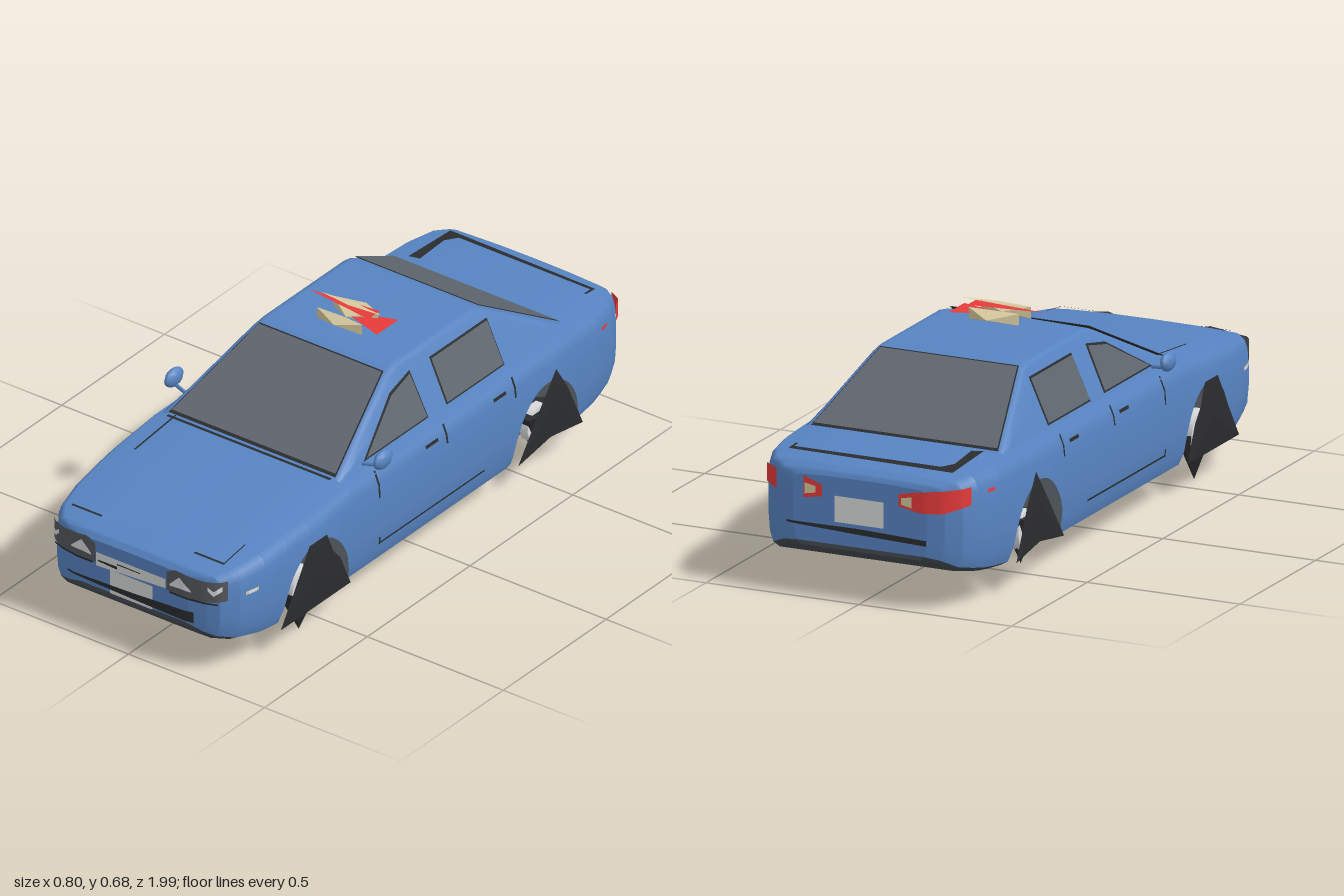
import * as THREE from 'three';

const mat = (name, color) => new THREE.MeshStandardMaterial({ name, color, side: THREE.DoubleSide });

// Piecewise linear lookup; keys are [position, value...] in ascending order
function look(keys, p, k = 1) {
  if (p <= keys[0][0]) return keys[0][k];
  for (let i = 1; i < keys.length; i++) {
    const a = keys[i - 1], b = keys[i];
    if (p <= b[0]) return a[k] + (b[k] - a[k]) * (p - a[0]) / (b[0] - a[0] || 1);
  }
  return keys[keys.length - 1][k];
}

// Body outline along z: half width, upper edge, lower edge
const WIDTH = [[-.99, .22], [-.98, .27], [-.95, .32], [-.9, .345], [-.8, .365], [-.6, .372], [.6, .372],
  [.8, .358], [.9, .335], [.95, .30], [.965, .26], [.975, .2]];
const TOP = [[-.99, .375], [-.985, .388], [-.96, .405], [-.9, .418], [-.69, .425], [.4, .42], [.7, .39],
  [.9, .36], [.96, .345], [.975, .328]];
const LOW = [[-.99, .17], [-.95, .14], [-.85, .118], [-.7, .1], [.7, .1], [.82, .11], [.9, .125], [.95, .142],
  [.965, .152], [.975, .168]];
const SECTION = [[.95, 0], [.985, .12], [1, .35], [1, .6], [.988, .82], [.96, .93], [.91, .985], [.5, 1.005], [0, 1.01]];
const ARCHES = [[.565, .157], [-.55, .162]];

const archY = z => Math.max(0, ...ARCHES.map(([c, r]) =>
  Math.abs(z - c) < r ? .1 + .212 * Math.sqrt(1 - ((z - c) / r) ** 2) : 0));

function sideX(z, y) {
  const w = look(WIDTH, z), lo = look(LOW, z), h = look(TOP, z) - lo;
  return look(SECTION.map(([x, t]) => [lo + t * h, x * w]), y);
}

function hullHalf(z) {
  const w = look(WIDTH, z), lo = look(LOW, z), h = look(TOP, z) - lo, a = archY(z);
  return SECTION.map(([x, t]) => {
    const y = lo + t * h;
    return y < a ? [sideX(z, a), a] : [x * w, y];
  });
}

// Skin through rows of 3D points
function skin(rows, reverse = false) {
  const n = rows[0].length, index = [];
  for (let i = 0; i < rows.length - 1; i++) for (let j = 0; j < n - 1; j++) {
    const a = i * n + j, b = a + n;
    if (reverse) index.push(a, b, a + 1, a + 1, b, b + 1);
    else index.push(a, a + 1, b, a + 1, b + 1, b);
  }
  const g = new THREE.BufferGeometry();
  g.setAttribute('position', new THREE.Float32BufferAttribute(rows.flat(2), 3));
  g.setIndex(index);
  g.computeVertexNormals();
  return g;
}

// Flat-faced fan around its first point
function fan(pts) {
  const tri = [];
  for (let i = 1; i < pts.length - 1; i++) tri.push(...pts[0], ...pts[i], ...pts[i + 1]);
  const g = new THREE.BufferGeometry();
  g.setAttribute('position', new THREE.Float32BufferAttribute(tri, 3));
  g.computeVertexNormals();
  return g;
}

// Full row, right edge over the top to the left edge, from a half section
const mirrorRow = (half, z) => [...half.map(([x, y]) => [-x, y, z]),
  ...half.slice(0, -1).reverse().map(([x, y]) => [x, y, z])];

export function createModel() {
  const car = new THREE.Group();
  car.name = 'car';
  const blue = mat('bodyBlue', 0x5784c2), dark = mat('blackRubber', 0x2b2c2e), under = mat('underside', 0x454a50),
    glass = mat('glass', 0x60666f), lamp = mat('lampGrey', 0x54575c), silver = mat('silver', 0xd9dbdc),
    beige = mat('beige', 0xd6c99f), red = mat('red', 0xec3c3c);
  const add = (name, geo, m, parent = car) => {
    const o = new THREE.Mesh(geo, m);
    o.name = name;
    parent.add(o);
    return o;
  };

  // Lower body with open wheel arches
  const stations = [...WIDTH, ...TOP].map(k => k[0]);
  for (let i = 1; i < 160; i++) stations.push(-.99 + 1.965 * i / 160);
  stations.sort((a, b) => a - b);
  add('body', skin(stations.map(z => mirrorRow(hullHalf(z), z))), blue);
  add('rearPanel', fan(mirrorRow(hullHalf(-.99), -.99)), blue);
  add('frontPanel', fan(mirrorRow(hullHalf(.975), .975).reverse()), blue);
  // Underside, rising towards both bumpers
  add('floor', skin(stations.map(z => {
    const w = archY(z) ? .27 : look(WIDTH, z) * .95, y = look(LOW, z);
    return [[w, y, z], [w * .93, y - .013, z], [-w * .93, y - .013, z], [-w, y, z]];
  })), under);
  for (const [name, z, s] of [['frontLip', .975, 1], ['rearLip', -.99, -1]]) {
    const w = look(WIDTH, z) * .95, y = look(LOW, z);
    add(name, fan([[-w * s, y, z], [-w * .93 * s, y - .013, z], [w * .93 * s, y - .013, z], [w * s, y, z]]), under);
  }

  // Cabin: sloping screens, leaning sides, rounded roof edge
  const ROOF = [[-.7, .42], [-.4, .594], [-.37, .603], [.01, .603], [.06, .592], [.4, .42]];
  const cabinX = y => .325 - (y - .42) * .46;
  add('cabin', skin([-.7, -.6, -.5, -.42, -.4, -.37, -.2, .01, .035, .06, .2, .3, .4].map(z => {
    const h = look(ROOF, z), m = (h + .42) / 2;
    return mirrorRow([[cabinX(.41), .41], [cabinX(m), m], [cabinX(h - .012), h - .012],
      [cabinX(h) - .005, h - .003], [cabinX(h) - .022, h], [0, h + .005]], z);
  })), blue);
  const screen = (name, z0, z1, m, e, lift) => add(name, fan([[z0, -1], [z1, -1], [z1, 1], [z0, 1]].map(([z, s]) => {
    const y = look(ROOF, z);
    return [s * (cabinX(y) - .022 + e), y + lift, z];
  })), m);
  screen('windscreenSeal', .06, .399, dark, .004, .0065);
  screen('windscreen', .066, .391, glass, 0, .009);
  screen('rearWindowSeal', -.697, -.4, dark, .004, .0065);
  screen('rearWindow', -.69, -.406, glass, 0, .009);

  // Strip wrapped round the nose (end 1) or tail (end -1): columns are [x, low, high]
  const endZ = (x, end) => {
    const keys = WIDTH.filter(k => k[0] * end >= .6).map(([z, w]) => [w, z]).sort((a, b) => a[0] - b[0]);
    return look(keys, Math.abs(x));
  };
  const wrap = (name, m, end, cols, out = .008) => {
    const rows = [], x0 = cols[0][0], x1 = cols[cols.length - 1][0];
    for (let i = 0; i <= 16; i++) {
      const x = x0 + (x1 - x0) * i / 16, z = endZ(x, end) + end * out;
      rows.push([[x, look(cols, x, 1), z], [x, look(cols, x, 2), z]]);
    }
    add(name, skin(rows, end > 0), m);
  };
  const flip = cols => cols.map(([x, a, b]) => [-x, a, b]).reverse();
  const both = (name, m, end, cols, out) => {
    wrap(name + 'Left', m, end, cols, out);
    wrap(name + 'Right', m, end, flip(cols), out);
  };

  // Nose
  both('headlight', lamp, 1, [[.13, .262, .325], [.16, .262, .342], [.25, .262, .332], [.318, .268, .335]], .012);
  both('headlightLens', silver, 1, [[.145, .284, .291], [.18, .287, .325], [.22, .286, .29]], .016);
  both('headlightSmallLens', silver, 1, [[.272, .305, .318], [.29, .288, .304], [.31, .305, .322]], .016);
  both('headlightTrim', dark, 1, [[.14, .255, .262], [.3, .255, .261]], .011);
  wrap('grille', silver, 1, [[-.13, .25, .296], [.125, .265, .296]], .01);
  wrap('grilleBar', dark, 1, [[-.12, .27, .275], [-.05, .266, .276]], .014);
  wrap('grilleSlit', dark, 1, [[-.05, .282, .286], [.035, .282, .285]], .014);
  wrap('frontPlate', silver, 1, [[-.078, .175, .255], [.078, .175, .255]], .012);
  wrap('bumperSlot', dark, 1, [[-.235, .196, .201], [0, .188, .208], [.228, .183, .22]], .016);
  both('frontMarker', beige, 1, [[.342, .27, .281], [.353, .27, .281]], .01);

  // Tail: one whole light, one broken into two pieces
  wrap('tailLightRight', red, -1, [[-.335, .33, .385], [-.27, .308, .378], [-.2, .305, .37], [-.13, .318, .355]], .01);
  wrap('tailLightLeftInner', red, -1, [[.12, .315, .35], [.18, .305, .372]], .01);
  wrap('tailLightLeftOuter', red, -1, [[.275, .315, .378], [.335, .33, .385]], .01);
  both('tailLightLens', beige, -1, [[.14, .325, .345], [.175, .318, .352]], .014);
  wrap('rearPlate', silver, -1, [[-.08, .242, .322], [.08, .242, .322]], .008);
  wrap('rearSlot', dark, -1, [[-.22, .205, .222], [0, .212, .23], [.24, .222, .228]], .008);

  // Panel gaps on bonnet and boot lid: [x, z] corners
  const deck = (name, pts) => add(name, fan(pts.map(([x, z]) => [x, look(TOP, z) + .006, z])), dark);
  for (const s of [1, -1])
    deck('bonnetFrontGap', [[s * .17, .9], [s * .28, .9], [s * .28, .907], [s * .17, .907]]);
  deck('bonnetSideGap', [[-.276, .4], [-.282, .4], [-.282, .6], [-.276, .6]]);
  deck('bonnetCornerGap', [[.276, .8], [.28, .8], [.28, .9], [.276, .9]]);
  deck('cowlGap', [[-.3, .408], [.3, .408], [.3, .418], [-.3, .418]]);
  deck('bootRearGap', [[-.27, -.925], [.27, -.915], [.27, -.9], [-.22, -.9]]);
  deck('bootSideGap', [[-.27, -.925], [-.22, -.9], [-.245, -.86], [-.235, -.73], [-.27, -.72]]);
  deck('bootCornerGap', [[.262, -.87], [.27, -.87], [.27, -.91], [.262, -.91]]);

  // Everything built once per side
  for (const s of [1, -1]) {
    const side = new THREE.Group();
    side.name = s > 0 ? 'leftSide' : 'rightSide';
    car.add(side);
    const pane = (name, pts, m, out) => add(name, fan(pts.map(([z, y]) => [s * (cabinX(y) + out), y, z])), m, side);
    pane('frontWindowSeal', [[.285, .43], [.085, .55], [-.025, .572], [-.032, .43]], dark, .003);
    pane('frontWindow', [[.268, .436], [.085, .543], [-.019, .565], [-.026, .436]], glass, .006);
    pane('rearWindowSeal', [[-.12, .57], [-.4, .57], [-.402, .43], [-.12, .43]], dark, .003);
    pane('rearDoorWindow', [[-.125, .565], [-.395, .565], [-.397, .436], [-.125, .436]], glass, .006);

    // Door gaps, handles, markers: [name, z0, z1, y0, y1]
    for (const [name, z0, z1, y0, y1, m] of [
      ['frontDoorGap', .268, .276, .32, .405, dark], ['frontDoorLowerGap', .268, .275, .16, .185, dark],
      ['sillGap', -.24, .27, .161, .167, dark], ['middleDoorGap', -.064, -.056, .345, .405, dark],
      ['rearDoorGap', -.396, -.388, .34, .405, dark], ['frontHandle', -.02, .04, .371, .381, dark],
      ['rearHandle', -.35, -.29, .371, .381, dark], ['rearMarker', -.86, -.825, .352, .362, red],
      ['frontSideMarker', .84, .87, .27, .28, silver]]) {
      const ym = (y0 + y1) / 2;
      const pt = (z, y) => [s * (sideX(z, y) + .004), y, z];
      add(name, skin([z0, z1].map(z => [y0, ym, y1].map(y => pt(z, y))), s < 0), m, side);
    }

    // Door mirror
    const mirror = add('mirror', new THREE.SphereGeometry(1, 10, 8), blue, side);
    mirror.scale.set(.018, .03, .042);
    mirror.position.set(s * .384, .455, .27);
    const stalk = new THREE.LineCurve3(new THREE.Vector3(s * .31, .425, .29), new THREE.Vector3(s * .378, .434, .272));
    add('mirrorStalk', new THREE.TubeGeometry(stalk, 1, .006, 5), blue, side);

    // Wheels: jagged faceted tyre, pointed foot, pale rim
    const tyre = (name, peak, outline) => add(name, fan([[s * .382, peak[1], peak[0]],
      ...[...outline, outline[0]].map(([z, y]) => [s * .375, y, z])]), dark, side);
    tyre('frontTyre', [.58, .2], [[.755, .1], [.68, .215], [.615, .32], [.53, .32], [.5, .25], [.465, .21], [.415, .1]]);
    tyre('rearTyre', [-.57, .25], [[-.4, .1], [-.5, .235], [-.585, .345], [-.64, .26], [-.715, .1], [-.56, .125]]);
    for (const [name, z, tip, r] of [['front', .585, 0, .08], ['rear', -.56, .05, .085]]) {
      const foot = add(name + 'TyreFoot', new THREE.ConeGeometry(1, .15, 5).toNonIndexed(), dark, side);
      foot.geometry.computeVertexNormals();
      foot.rotation.x = Math.PI;
      foot.scale.set(.06, 1, r);
      foot.position.set(s * .312, tip + .075, z);
      const rim = add(name + 'Rim', new THREE.CylinderGeometry(.062, .062, .03, 10), silver, side);
      rim.rotation.z = Math.PI / 2;
      rim.position.set(s * .32, .155, z);
    }
  }

  // Floating roof sign: two beige lozenges, red blade and stripe, thin beige leaf
  const sign = new THREE.Group();
  sign.name = 'roofSign';
  car.add(sign);
  const corners = [[-.083, -.018], [.083, -.018], [.083, .018], [-.083, .018], [-.083, -.018]];
  for (const [z, d] of [[-.028, .028], [-.108, .05]]) for (const e of [1, -1])
    add('signLozenge', fan([[0, .643, z + e * d], ...corners.map(([x, y]) => [x * e, .643 + y, z])]), beige, sign);
  add('signBlade', fan([[-.03, .645, -.08], [.135, .645, -.03], [.135, .645, -.135]]), red, sign);
  add('signStripe', fan([[-.155, .668, -.085], [.085, .668, -.055], [.085, .668, -.112]]), red, sign);
  add('signLeaf', fan([[-.105, .679, -.08], [0, .679, -.068], [.118, .679, -.08], [0, .679, -.092]]), beige, sign);
  return car;
}
